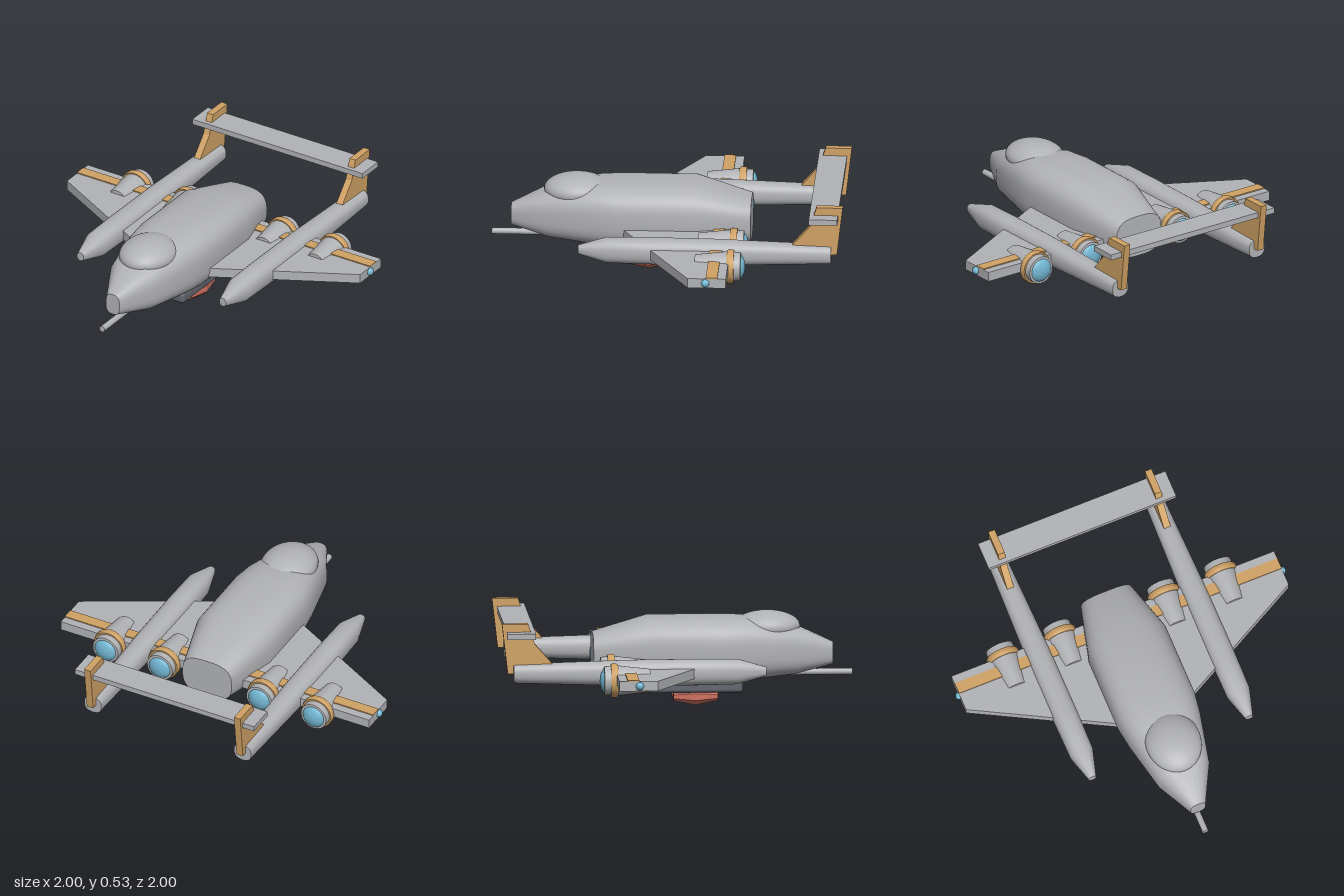
import * as THREE from 'three';
import { toCreasedNormals } from 'three/addons/utils/BufferGeometryUtils.js';
import { RoundedBoxGeometry } from 'three/addons/geometries/RoundedBoxGeometry.js';

const material = (name, color) => {
  const m = new THREE.MeshStandardMaterial({ color });
  m.name = name;
  return m;
};

// Closed body through superellipse sections [z, halfWidth, bottomY, topY], listed front to back.
function loft(sections, power, sides = 32) {
  const pos = [], index = [];
  const bend = (v) => Math.sign(v) * Math.abs(v) ** (2 / power);
  for (const [z, w, y0, y1] of sections) {
    for (let j = 0; j < sides; j++) {
      const a = (j / sides) * Math.PI * 2;
      pos.push(w * bend(Math.cos(a)), (y0 + y1) / 2 + ((y1 - y0) / 2) * bend(Math.sin(a)), z);
    }
  }
  const last = sections.length - 1;
  const front = pos.length / 3, back = front + 1;
  for (const s of [sections[0], sections[last]]) pos.push(0, (s[2] + s[3]) / 2, s[0]);
  for (let j = 0; j < sides; j++) {
    const k = (j + 1) % sides;
    for (let i = 0; i < last; i++) {
      const a = i * sides + j, b = i * sides + k, c = a + sides, d = b + sides;
      index.push(a, c, b, b, c, d);
    }
    index.push(front, j, k, back, last * sides + k, last * sides + j);
  }
  const g = new THREE.BufferGeometry();
  g.setAttribute('position', new THREE.Float32BufferAttribute(pos, 3));
  g.setIndex(index);
  return toCreasedNormals(g, 0.7);
}

const extrude = (points, depth) => new THREE.ExtrudeGeometry(
  new THREE.Shape(points.map(([x, y]) => new THREE.Vector2(x, y))), { depth, bevelEnabled: false });

// Profile [radius, distance] turned around an axis that points to the rear.
const turned = (points, sides = 32) => toCreasedNormals(
  new THREE.LatheGeometry(points.map(([r, d]) => new THREE.Vector2(r, d)), sides).rotateX(-Math.PI / 2), 0.6);

export function createModel() {
  const group = new THREE.Group();
  const hull = material('hull grey', 0xb2b3b6);
  const gold = material('gold trim', 0xd0a265);
  const blue = material('blue glow', 0x74b8d4);
  const dark = material('dark grey', 0x62656e);
  const red = material('red', 0xcf7060);
  const add = (name, geometry, mat, x = 0, y = 0, z = 0) => {
    const mesh = new THREE.Mesh(geometry, mat);
    mesh.name = name;
    mesh.position.set(x, y, z);
    group.add(mesh);
    return mesh;
  };

  // Fuselage, canopy and nose probe
  add('fuselage', loft([
    [0.89, 0.045, 0.215, 0.34], [0.68, 0.155, 0.165, 0.435], [0.4, 0.217, 0.135, 0.49],
    [0.28, 0.235, 0.13, 0.495], [-0.15, 0.235, 0.13, 0.495], [-0.46, 0.155, 0.165, 0.405],
  ], 3, 48), hull);
  add('canopy', new THREE.SphereGeometry(1, 40, 24).scale(0.157, 0.087, 0.187), hull, 0, 0.434, 0.52);
  add('noseProbe', new THREE.CylinderGeometry(0.018, 0.018, 0.42, 16).rotateX(Math.PI / 2), hull, 0, 0.17, 0.79);

  // Wing in one piece, with a thin stripe on top
  add('wing', extrude([
    [-0.978, -0.365], [0.978, -0.365], [0.978, -0.15], [0.2, 0.265], [-0.2, 0.265], [-0.978, -0.15],
  ], 0.055).rotateX(Math.PI / 2), hull, 0, 0.275, 0);
  add('wingStripe', new THREE.BoxGeometry(1.956, 0.008, 0.065), gold, 0, 0.277, -0.285);

  const boom = loft([
    [0.49, 0.022, 0.222, 0.272], [0.33, 0.068, 0.178, 0.318], [0.1, 0.072, 0.174, 0.32],
    [-0.3, 0.07, 0.175, 0.318], [-0.93, 0.054, 0.195, 0.3],
  ], 2.5);
  const fin = extrude([
    [-0.69, 0.28], [-0.717, 0.31], [-0.81, 0.415], [-0.848, 0.53], [-0.995, 0.53], [-0.963, 0.25], [-0.72, 0.25],
  ].reverse(), 0.04).rotateY(-Math.PI / 2).translate(0.02, 0, 0);

  // Engine pieces, each turned around the thrust axis
  const nacelle = turned([[0, 0.175], [0.064, 0.175], [0.085, 0.36], [0.085, 0.38], [0, 0.38]]);
  const ring = turned([[0.08, 0.355], [0.091, 0.355], [0.095, 0.362], [0.095, 0.388], [0.091, 0.395], [0.08, 0.395]]);
  const collar = turned([[0.083, 0.38], [0.08, 0.432], [0.066, 0.434], [0, 0.434]]);
  const glow = turned([[0.067, 0.433], [0.062, 0.44], [0.045, 0.449], [0.024, 0.455], [0, 0.457]]);

  const pod = new THREE.CylinderGeometry(0.052, 0.027, 0.125, 8, 1);
  for (const side of [-1, 1]) {
    add('boom', boom, hull, side * 0.475);
    add('tailFin', fin, gold, side * 0.475);
    add('wingTipLight', new THREE.SphereGeometry(0.023, 20, 14), blue, side * 0.977, 0.248, -0.25);
    for (const x of [0.315, 0.66]) {
      add('engineNacelle', nacelle, hull, side * x, 0.232);
      add('engineRing', ring, gold, side * x, 0.232);
      add('engineCollar', collar, hull, side * x, 0.232);
      add('engineGlow', glow, blue, side * x, 0.232);
    }
    // Belly pod made of two tapered halves meeting in the middle
    for (const end of [-1, 1]) {
      const half = pod.clone().rotateY(Math.PI / 8).rotateX(-end * Math.PI / 2);
      add('bellyPod', toCreasedNormals(half, 0.1), red, side * 0.08, 0.05, 0.115 + end * 0.0625);
    }
  }

  // Tailplane and belly pallet
  add('tailplane', new THREE.BoxGeometry(1.136, 0.032, 0.16), hull, 0, 0.469, -0.888);
  add('bellyPallet', new RoundedBoxGeometry(0.28, 0.065, 0.535, 3, 0.02), dark, 0, 0.107, 0.113);
  return group;
}
